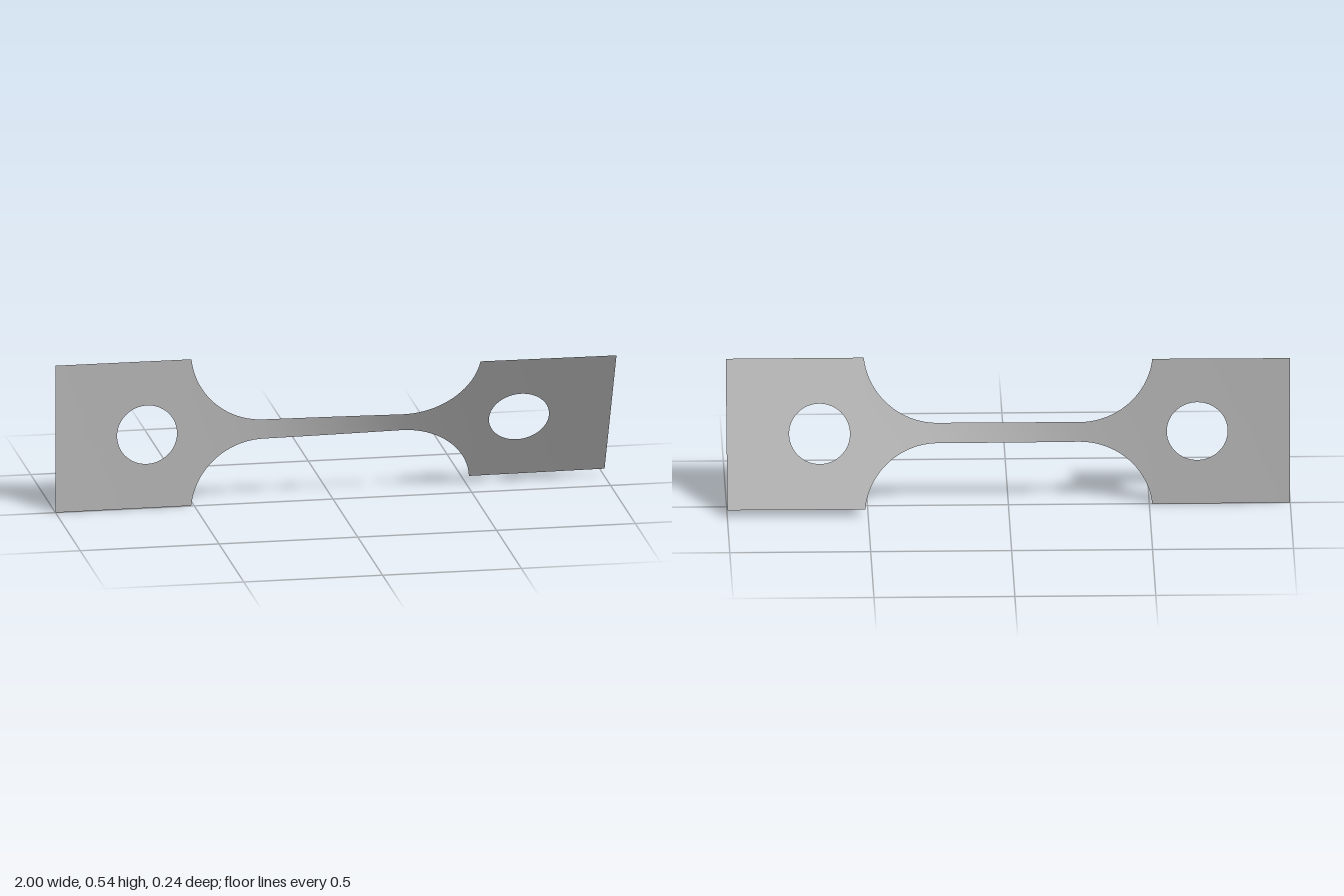
import * as THREE from 'three';
import { mergeVertices } from 'three/addons/utils/BufferGeometryUtils.js';

const END_HALF = 0.271;                       // half height of the end plates
const NECK_HALF = 0.036;                      // half height of the narrow neck
const ARC = { x: 0.25, r: 0.262 };            // fillet between neck and plate
const HOLE = { x: 0.67, r: 0.108 };
const PLATE_X = ARC.x + Math.sqrt(ARC.r ** 2 - (NECK_HALF + ARC.r - END_HALF) ** 2);

// Outer half height at distance a from the middle
function outer(a) {
  if (a <= ARC.x) return NECK_HALF;
  if (a >= PLATE_X) return END_HALF;
  return NECK_HALF + ARC.r - Math.sqrt(ARC.r ** 2 - (a - ARC.x) ** 2);
}

// Half height of the hole opening, zero elsewhere
function inner(a) {
  const d = HOLE.r ** 2 - (a - HOLE.x) ** 2;
  return d > 1e-9 ? Math.sqrt(d) : 0;
}

// Twist angle along the length: almost all of it happens in the neck
const TWIST = [[-1, 0], [-0.51, 0.7], [-0.35, 1.7], [-0.25, 3.2], [0.25, 23.2], [0.35, 24.8], [0.51, 25.7], [1, 26.4]];
function twist(x) {
  const i = Math.max(1, TWIST.findIndex(([tx]) => x <= tx));
  const [x0, a0] = TWIST[i - 1], [x1, a1] = TWIST[i];
  return THREE.MathUtils.degToRad(a0 + (a1 - a0) * (x - x0) / (x1 - x0));
}

// Stations along x, denser where the outline curves
function stations() {
  const half = [];
  for (let i = 1; i <= 10; i++) half.push(ARC.x * i / 10);
  const end = Math.asin((PLATE_X - ARC.x) / ARC.r);
  for (let i = 1; i <= 20; i++) half.push(ARC.x + ARC.r * Math.sin(end * i / 20));
  for (let i = 0; i <= 32; i++) half.push(HOLE.x - HOLE.r * Math.cos(Math.PI * i / 32));
  for (let i = 1; i <= 4; i++) half.push(HOLE.x + HOLE.r + (1 - HOLE.x - HOLE.r) * i / 4);
  return [...half.map((a) => -a).reverse(), 0, ...half];
}

function twistedSheet() {
  const xs = stations(), rows = 4, pos = [], index = [];
  // Upper strip, then its mirrored lower strip
  for (const side of [1, -1]) {
    const base = pos.length / 3;
    xs.forEach((x, i) => {
      const a = Math.abs(x), t = twist(x);
      for (let j = 0; j <= rows; j++) {
        const v = side * THREE.MathUtils.lerp(inner(a), outer(a), j / rows);
        pos.push(x, END_HALF + v * Math.cos(t), v * Math.sin(t));
        if (i === 0 || j === 0) continue;
        const d = base + i * (rows + 1) + j, c = d - 1, b = d - rows - 1, e = b - 1;
        if (side > 0) index.push(e, c, d, e, d, b);
        else index.push(e, d, c, e, b, d);
      }
    });
  }
  const g = new THREE.BufferGeometry();
  g.setAttribute('position', new THREE.Float32BufferAttribute(pos, 3));
  g.setIndex(index);
  const merged = mergeVertices(g, 1e-5);
  merged.computeVertexNormals();
  return merged;
}

export function createModel() {
  const group = new THREE.Group();
  group.name = 'twistedSpecimen';
  const metal = new THREE.MeshStandardMaterial({ color: 0xb8b8b8, side: THREE.DoubleSide });
  metal.name = 'plain grey';
  const sheet = new THREE.Mesh(twistedSheet(), metal);
  sheet.name = 'twistedSheet';
  group.add(sheet);
  return group;
}
